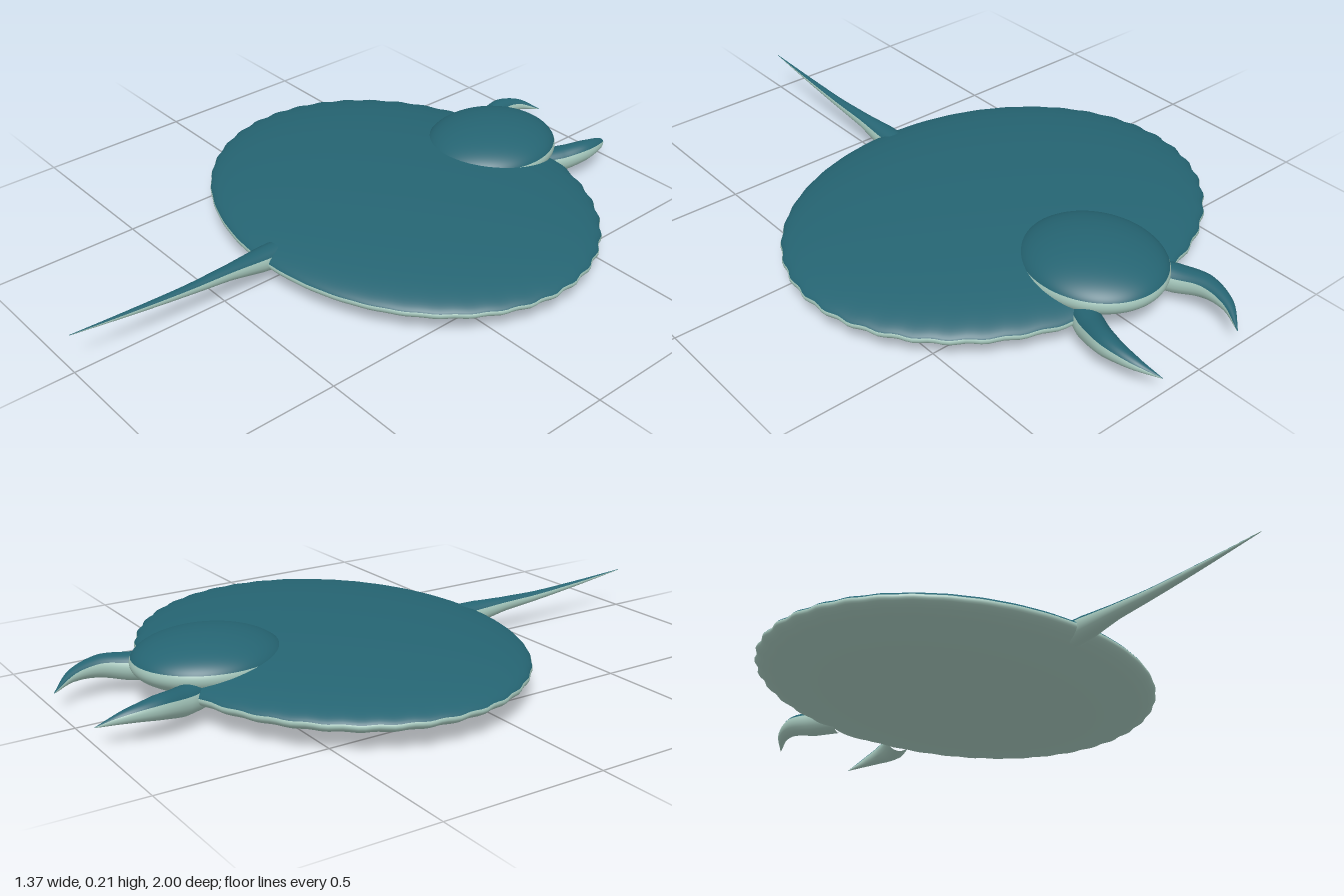
import * as THREE from 'three';

const teal = new THREE.MeshStandardMaterial({ color: 0x256472 });
teal.name = 'tealBack';
const pale = new THREE.MeshStandardMaterial({ color: 0xa2c4b9 });
pale.name = 'paleBelly';

// Two-tone flattened ellipsoid: teal cap above the split angle, pale below.
function ellipsoid(name, radii, centre, split, ripple) {
  const group = new THREE.Group();
  group.name = name;
  const halves = [['Top', teal, 0, split], ['Underside', pale, split, Math.PI - split]];
  for (const [label, material, start, length] of halves) {
    const geo = new THREE.SphereGeometry(1, 192, 32, 0, Math.PI * 2, start, length);
    const p = geo.attributes.position;
    for (let i = 0; i < p.count; i++) {
      const x = p.getX(i), z = p.getZ(i);
      const k = 1 + ripple(Math.atan2(z, x)) * (x * x + z * z);
      p.setX(i, x * k);
      p.setZ(i, z * k);
    }
    geo.scale(...radii).translate(...centre);
    const mesh = new THREE.Mesh(geo, material);
    mesh.name = name + label;
    group.add(mesh);
  }
  return group;
}

// Tapered sweep; each station is [x, y, z, radius]. Teal strip along the top.
function taper(name, stations, steps = 40, sides = 12) {
  const group = new THREE.Group();
  group.name = name;
  const curve = new THREE.CatmullRomCurve3(stations.map(s => new THREE.Vector3(s[0], s[1], s[2])));
  const radiusAt = t => {
    const f = t * (stations.length - 1), i = Math.min(Math.floor(f), stations.length - 2);
    return THREE.MathUtils.lerp(stations[i][3], stations[i + 1][3], f - i);
  };
  const limit = Math.PI / 3;
  const strips = [['Top', teal, -limit, limit], ['Underside', pale, limit, 2 * Math.PI - limit]];
  for (const [label, material, a0, a1] of strips) {
    const pos = [], nor = [], index = [];
    for (let i = 0; i <= steps; i++) {
      const t = i / steps, c = curve.getPoint(t), dir = curve.getTangent(t);
      const side = new THREE.Vector3(0, 1, 0).cross(dir).normalize();
      const up = dir.clone().cross(side);
      for (let j = 0; j <= sides; j++) {
        const a = a0 + (a1 - a0) * j / sides;
        const n = up.clone().multiplyScalar(Math.cos(a)).addScaledVector(side, Math.sin(a));
        pos.push(...c.clone().addScaledVector(n, radiusAt(t)).toArray());
        nor.push(...n.toArray());
        if (i < steps && j < sides) {
          const k = i * (sides + 1) + j, m = k + sides + 1;
          index.push(k, m, k + 1, k + 1, m, m + 1);
        }
      }
    }
    const geo = new THREE.BufferGeometry();
    geo.setAttribute('position', new THREE.Float32BufferAttribute(pos, 3));
    geo.setAttribute('normal', new THREE.Float32BufferAttribute(nor, 3));
    // Flip winding so the faces point outward
    for (let i = 0; i < index.length; i += 3) {
      const [a, b, c] = index.slice(i, i + 3).map(v => new THREE.Vector3().fromArray(pos, v * 3));
      const face = b.sub(a).cross(c.sub(a));
      if (face.dot(new THREE.Vector3().fromArray(nor, index[i] * 3)) < 0) {
        [index[i + 1], index[i + 2]] = [index[i + 2], index[i + 1]];
      }
    }
    geo.setIndex(index);
    const mesh = new THREE.Mesh(geo, material);
    mesh.name = name + label;
    group.add(mesh);
  }
  return group;
}

export function createModel() {
  const model = new THREE.Group();
  model.name = 'ray';

  // Flat disc body with a softly scalloped rim, and the domed head
  const scallop = a => 0.006 * Math.sin(40 * a) * Math.min(1, 1.1 - Math.sin(a));
  model.add(ellipsoid('body', [0.682, 0.082, 0.555], [0, 0.085, -0.19], 1.49, scallop));
  model.add(ellipsoid('head', [0.204, 0.08, 0.224], [0, 0.13, -0.595], 1.38, () => 0));

  // Curved head fins, mirrored
  for (const s of [1, -1]) {
    model.add(taper(s > 0 ? 'leftHeadFin' : 'rightHeadFin', [
      [0.13 * s, 0.08, -0.68, 0.042],
      [0.168 * s, 0.083, -0.76, 0.042],
      [0.193 * s, 0.092, -0.845, 0.034],
      [0.184 * s, 0.083, -0.93, 0.019],
      [0.147 * s, 0.056, -1, 0.001],
    ]));
  }

  // Whip tail
  model.add(taper('tail', [
    [0, 0.084, 0.29, 0.012],
    [0, 0.085, 0.315, 0.04],
    [0, 0.088, 0.37, 0.037],
    [0, 0.095, 0.48, 0.024],
    [0, 0.1, 0.62, 0.016],
    [0, 0.113, 0.8, 0.009],
    [0, 0.131, 1, 0.001],
  ], 60));

  return model;
}
